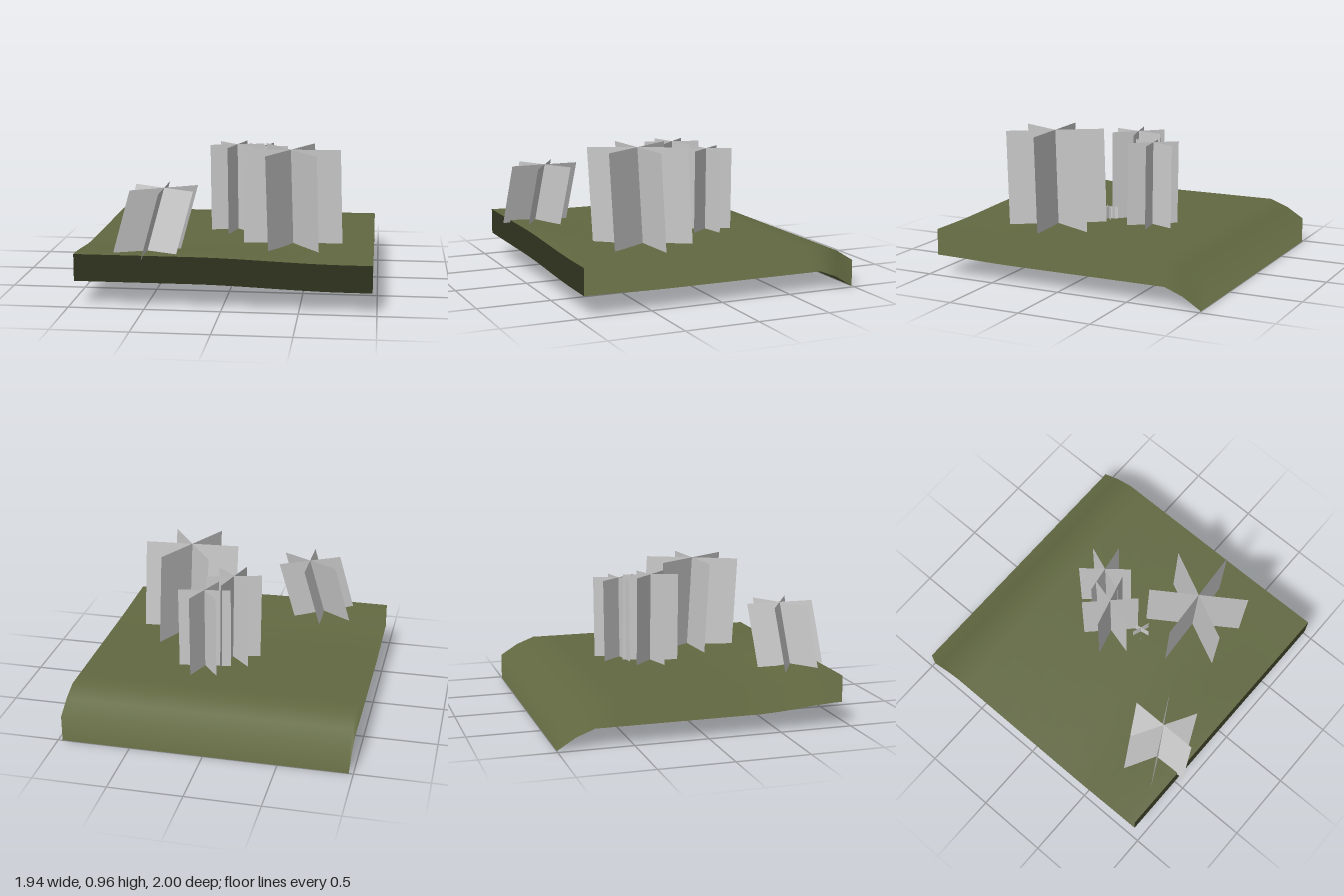
import * as THREE from 'three';

const grass = new THREE.MeshStandardMaterial({ color: 0x626941, side: THREE.DoubleSide });
grass.name = 'moss green';
const foliage = new THREE.MeshStandardMaterial({ color: 0xcccccc, side: THREE.DoubleSide });
foliage.name = 'pale grey';

const SKIRT = 0.18;

// Height of the ground: flat, raised at one front corner, falling off at the back
function groundHeight(x, z) {
  const front = THREE.MathUtils.smoothstep(z, 0.35, 0.945);
  const side = 1 - THREE.MathUtils.smoothstep(x, -0.2, 0.8);
  let y = 0.305 + front * (0.01 + 0.028 * side);
  if (z < -0.75) y -= z > -0.875 ? (-0.75 - z) * 0.38 : 0.0475 + (-0.875 - z) * 0.62;
  return y;
}

// Ground sheet whose outermost ring of vertices is folded down into an open skirt
function makeGround() {
  const xs = [], zs = [];
  for (let i = 0; i <= 16; i++) {
    xs.push(-0.97 + (1.94 * i) / 16);
    zs.push(-1 + 0.125 * i);
  }
  zs[16] = 0.945;
  const n = 18;
  const geo = new THREE.PlaneGeometry(2, 2, n, n).rotateX(-Math.PI / 2);
  const pos = geo.attributes.position;
  const inner = (k) => THREE.MathUtils.clamp(k - 1, 0, 16);
  const isRim = (k) => k === 0 || k === n;
  const each = (fn) => {
    for (let r = 0; r <= n; r++) for (let c = 0; c <= n; c++) fn(r * (n + 1) + c, r, c);
  };
  // lay out the surface with a flat border so the rim keeps the ground's smooth normals
  each((i, r, c) => {
    const x = xs[inner(c)], z = zs[inner(r)];
    const out = (k) => (k === 0 ? -0.1 : k === n ? 0.1 : 0);
    pos.setXYZ(i, x + out(c), groundHeight(x, z), z + out(r));
  });
  geo.computeVertexNormals();
  // fold the border down
  each((i, r, c) => {
    const x = xs[inner(c)], z = zs[inner(r)];
    const drop = isRim(r) || isRim(c) ? SKIRT : 0;
    pos.setXYZ(i, x, groundHeight(x, z) - drop, z);
  });
  const mesh = new THREE.Mesh(geo, grass);
  mesh.name = 'ground';
  return mesh;
}

// Three upright cards crossing on one axis, leaning by a shear from top to bottom
function makePlant({ name, top, bottom, radius, angle }) {
  const plant = new THREE.Group();
  plant.name = name;
  for (let k = 0; k < 3; k++) {
    const a = THREE.MathUtils.degToRad(angle + 60 * k);
    const dx = Math.cos(a) * radius, dz = Math.sin(a) * radius;
    const geo = new THREE.PlaneGeometry(2, 1, 2, 1);
    const pos = geo.attributes.position;
    for (let i = 0; i < pos.count; i++) {
      const u = pos.getX(i);
      const [x, y, z] = pos.getY(i) > 0 ? top : bottom;
      pos.setXYZ(i, x + u * dx, y, z + u * dz);
    }
    geo.computeVertexNormals();
    const card = new THREE.Mesh(geo, foliage);
    card.name = 'foliageCard';
    plant.add(card);
  }
  return plant;
}

export function createModel() {
  const model = new THREE.Group();
  model.name = 'groundPatch';
  model.add(makeGround());
  [
    { name: 'leaningPlant', top: [-0.405, 0.75, 0.715], bottom: [-0.517, 0.325, 0.757], radius: 0.24, angle: -30 },
    { name: 'largePlant', top: [0.4, 0.957, 0.34], bottom: [0.42, 0.29, 0.31], radius: 0.337, angle: -64 },
    { name: 'middlePlant', top: [-0.01, 0.92, -0.1], bottom: [-0.003, 0.295, -0.104], radius: 0.194, angle: -75 },
    { name: 'rearPlant', top: [0.155, 0.88, -0.29], bottom: [0.155, 0.295, -0.285], radius: 0.18, angle: -69 },
    { name: 'smallPlant', top: [0.13, 0.39, 0.065], bottom: [0.13, 0.295, 0.065], radius: 0.065, angle: -40 },
  ].forEach((p) => model.add(makePlant(p)));
  return model;
}
